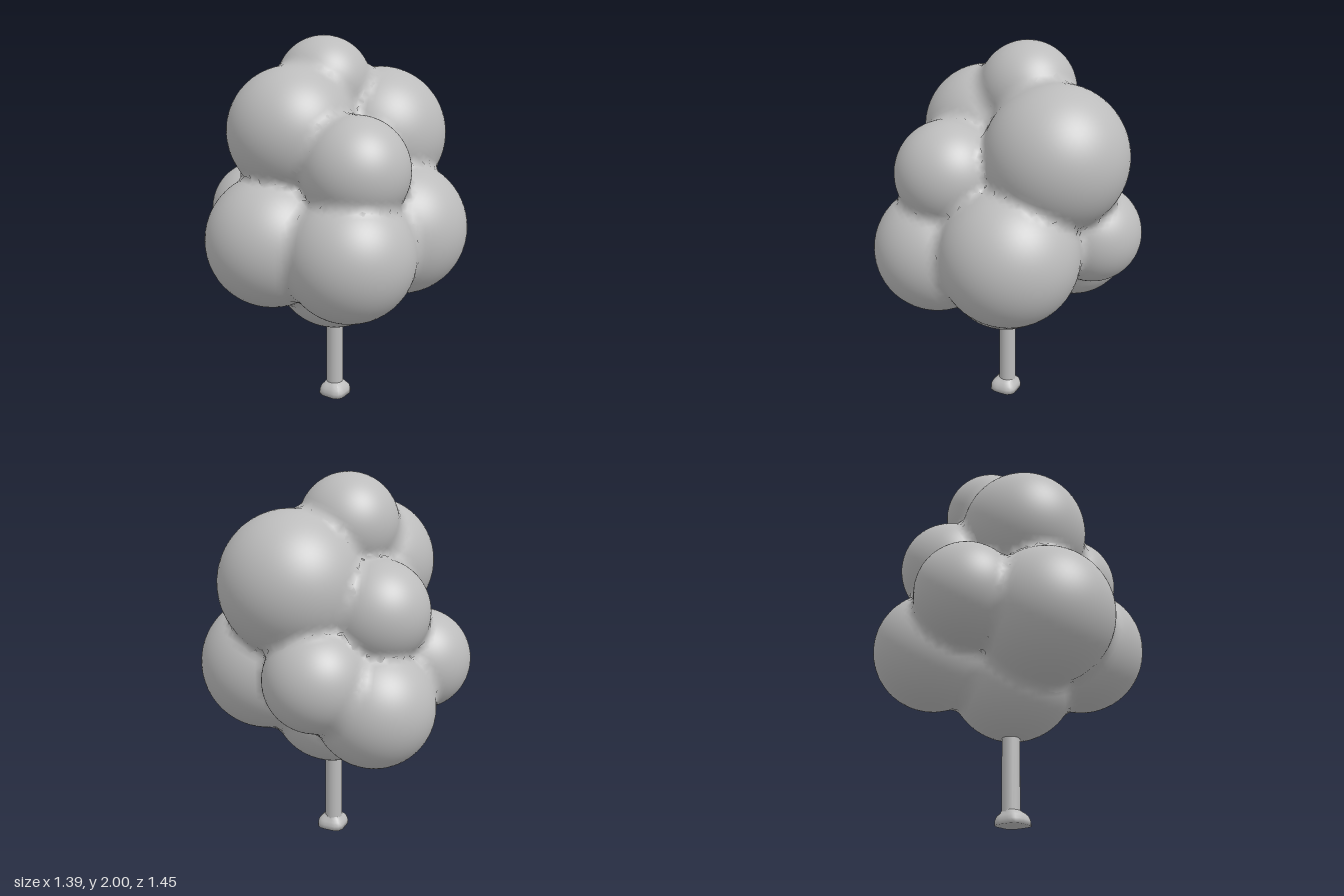
import * as THREE from 'three';

// Leaf clumps: x, y, z, radius
const CLUMPS = [
  [0, 0.95, 0.385, 0.335],      // front
  [0.04, 1.365, 0.325, 0.275],  // front upper
  [-0.035, 1.745, -0.12, 0.255],// crown
  [0.28, 1.47, -0.16, 0.365],   // upper, +x
  [-0.23, 1.525, 0.04, 0.335],  // upper, -x
  [0.335, 1.005, 0.1, 0.36],    // middle, +x
  [-0.35, 0.98, 0.13, 0.35],    // middle, -x
  [0, 0.77, 0.01, 0.335],       // underside
  [-0.06, 0.87, -0.415, 0.31],  // back low
  [-0.1, 1.335, -0.345, 0.265], // back high
  [-0.38, 1.05, -0.27, 0.265],  // back, -x
  [0.24, 1.035, -0.39, 0.26],   // back, +x
];
const BLEND = 0.05;

// Distance to the softly merged clumps
function field(p) {
  let d = 10;
  for (const [x, y, z, r] of CLUMPS) {
    const e = Math.hypot(p.x - x, p.y - y, p.z - z) - r;
    const h = Math.max(BLEND - Math.abs(d - e), 0) / BLEND;
    d = Math.min(d, e) - h * h * BLEND * 0.25;
  }
  return d;
}

function fieldNormal(p) {
  const n = new THREE.Vector3(), q = new THREE.Vector3(), e = 0.004;
  for (const axis of ['x', 'y', 'z']) {
    q.copy(p)[axis] += e;
    n[axis] = field(q);
    q.copy(p)[axis] -= e;
    n[axis] -= field(q);
  }
  return n.normalize();
}

// A ball whose surface swells into a fillet where it meets its neighbours
function clumpGeometry([x, y, z, r]) {
  const pos = new THREE.IcosahedronGeometry(1, 11).attributes.position;
  const points = [], normals = [];
  const centre = new THREE.Vector3(x, y, z);
  for (let i = 0; i < pos.count; i += 3) {
    const tri = [0, 1, 2].map((k) => {
      const dir = new THREE.Vector3().fromBufferAttribute(pos, i + k).normalize();
      const p = centre.clone().addScaledVector(dir, r);
      const depth = field(p);
      let t = 0;
      for (let s = 0; s < 8; s++) t -= field(p.clone().addScaledVector(dir, t));
      if (t > 0 && t < 0.05) p.addScaledVector(dir, t);
      return { p, dir, depth };
    });
    if (tri.every((v) => v.depth < -0.06)) continue; // buried in the crown
    for (const { p, dir, depth } of tri) {
      const n = depth < -0.06 ? dir : fieldNormal(p);
      points.push(p.x, p.y, p.z);
      normals.push(n.x, n.y, n.z);
    }
  }
  const g = new THREE.BufferGeometry();
  g.setAttribute('position', new THREE.Float32BufferAttribute(points, 3));
  g.setAttribute('normal', new THREE.Float32BufferAttribute(normals, 3));
  return g;
}

export function createModel() {
  const grey = new THREE.MeshStandardMaterial({ color: 0xbcbcbc });
  grey.name = 'plain grey';
  const tree = new THREE.Group();
  tree.name = 'tree';

  // Foliage
  const foliage = new THREE.Group();
  foliage.name = 'foliage';
  for (const c of CLUMPS) {
    const clump = new THREE.Mesh(clumpGeometry(c), grey);
    clump.name = 'leafClump';
    foliage.add(clump);
  }
  tree.add(foliage);

  // Trunk
  const trunk = new THREE.Mesh(new THREE.CylinderGeometry(0.046, 0.048, 0.55, 16), grey);
  trunk.name = 'trunk';
  trunk.position.y = 0.275;
  tree.add(trunk);

  // Flared root foot, gently lobed
  const profile = [[0, 0], [0.084, 0], [0.083, 0.025], [0.075, 0.045], [0.06, 0.06], [0.045, 0.075]]
    .map(([a, b]) => new THREE.Vector2(a, b));
  const footGeo = new THREE.LatheGeometry(profile, 24);
  const pos = footGeo.attributes.position;
  for (let i = 0; i < pos.count; i++) {
    const x = pos.getX(i), z = pos.getZ(i), spread = Math.hypot(x, z);
    const k = spread > 0.05 ? 1 + 0.08 * Math.cos(4 * Math.atan2(z, x)) : 1;
    pos.setX(i, x * k);
    pos.setZ(i, z * k + (spread > 0.05 ? 0.01 : 0));
  }
  footGeo.computeVertexNormals();
  const foot = new THREE.Mesh(footGeo, grey);
  foot.name = 'rootFoot';
  tree.add(foot);

  // Underside of the foot
  const base = new THREE.Mesh(new THREE.CircleGeometry(0.08, 24).rotateX(Math.PI / 2), grey);
  base.name = 'footBase';
  base.position.set(0, 0.001, 0.01);
  tree.add(base);
  return tree;
}
